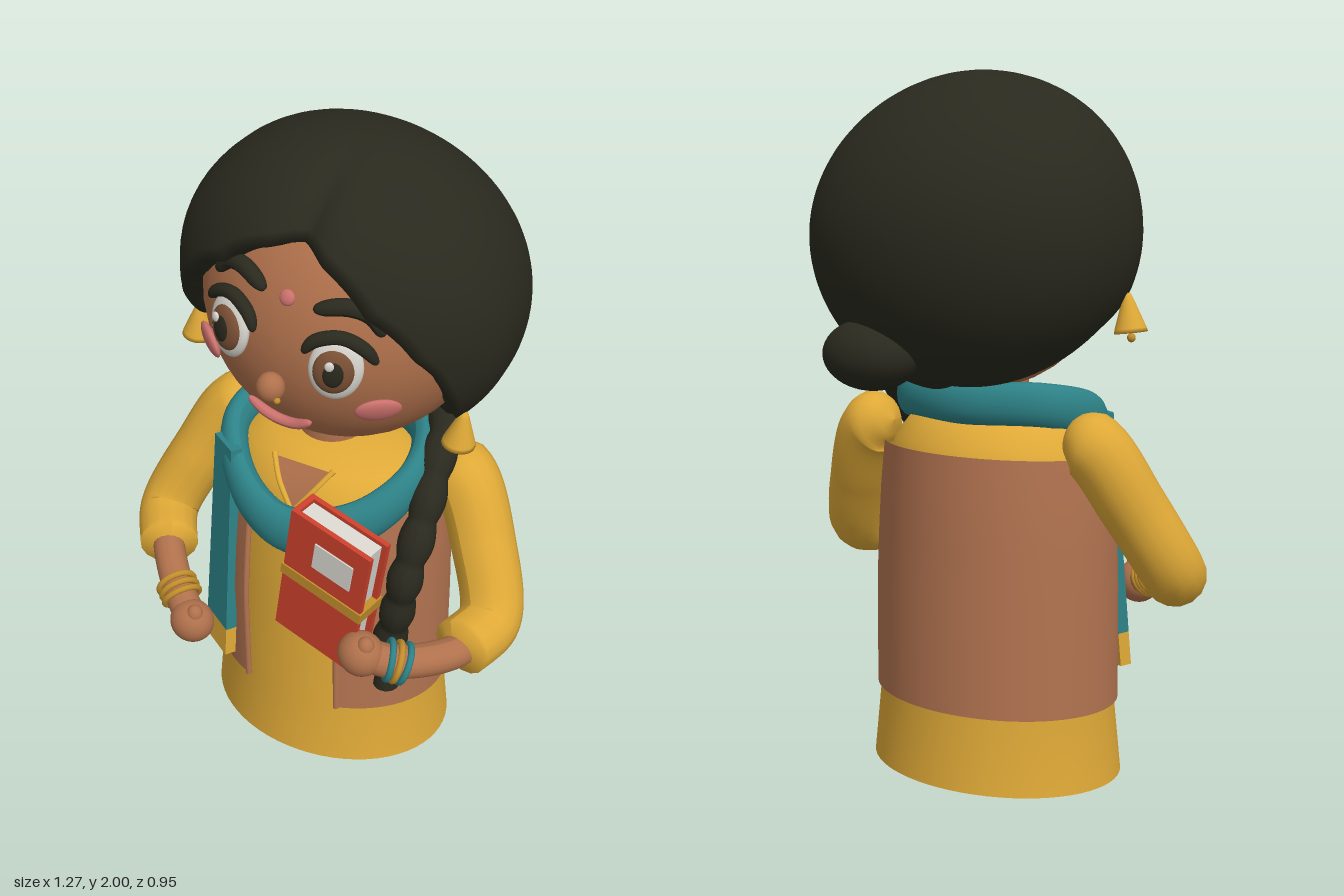
import * as THREE from 'three';

const mat = (name, color, side = THREE.FrontSide) => {
  const m = new THREE.MeshStandardMaterial({ color, side });
  m.name = name;
  return m;
};
const V = (x, y, z) => new THREE.Vector3(x, y, z);

export function createModel() {
  const skin = mat('skin', 0xb0714c), vestBrown = mat('vest brown', 0xb27350, THREE.DoubleSide);
  const yellow = mat('tunic yellow', 0xdfa937), teal = mat('teal', 0x2d8287);
  const red = mat('book red', 0xcc402c), dark = mat('hair black', 0x29291e);
  const pink = mat('pink', 0xca706c), white = mat('white', 0xd9d7cf);
  const iris = mat('eye brown', 0x7c5136), gold = mat('gold', 0xc28e2c);

  const model = new THREE.Group();
  const add = (name, geo, material, pos = [0, 0, 0], parent = model) => {
    const m = new THREE.Mesh(geo, material);
    m.name = name;
    m.position.set(...pos);
    parent.add(m);
    return m;
  };
  const ball = (name, material, pos, size, parent = model) => {
    const m = add(name, new THREE.SphereGeometry(1, 32, 20), material, pos, parent);
    m.scale.set(...size);
    return m;
  };
  const group = (name, parent = model) => {
    const g = new THREE.Group();
    g.name = name;
    parent.add(g);
    return g;
  };

  // Tube whose radius follows a rule along its length, optionally flattened
  const tube = (name, pts, radius, material, parent = model, { closed = false, squash = [1, 1, 1], seg = 48 } = {}) => {
    const curve = new THREE.CatmullRomCurve3(pts.map(p => V(...p)), closed);
    const geo = new THREE.TubeGeometry(curve, seg, 1, 16, closed);
    const pos = geo.attributes.position, v = V(), s = V(...squash);
    for (let i = 0; i < pos.count; i++) {
      const t = Math.floor(i / 17) / seg, c = curve.getPointAt(t);
      v.fromBufferAttribute(pos, i).sub(c).multiplyScalar(radius(t)).multiply(s).add(c);
      pos.setXYZ(i, v.x, v.y, v.z);
    }
    geo.computeVertexNormals();
    return add(name, geo, material, [0, 0, 0], parent);
  };
  const tapered = r => t => r * Math.sqrt(Math.max(0, 1 - (2 * t - 1) ** 4));

  // Torso cross-sections get flatter from front to back towards the shoulders
  const cx = -0.013;
  const depth = y => 0.77 - 0.12 * THREE.MathUtils.smoothstep(y, 0.5, 0.98);
  const torso = (name, profile, material, start = 0, length = Math.PI * 2) => {
    const geo = new THREE.LatheGeometry(profile.map(p => new THREE.Vector2(...p)), 64, start, length);
    const pos = geo.attributes.position;
    for (let i = 0; i < pos.count; i++) pos.setZ(i, pos.getZ(i) * depth(pos.getY(i)));
    return add(name, geo, material, [cx, 0, -0.008]);
  };

  // Tunic, neck and collar opening
  torso('tunic', [[0.388, 0], [0.365, 0.22], [0.36, 0.6], [0.35, 0.88], [0.325, 0.96], [0.27, 1.025], [0.2, 1.06], [0.1, 1.075]], yellow);
  const base = add('tunicBase', new THREE.CircleGeometry(0.388, 64), yellow, [cx, 0, -0.008]);
  base.rotation.x = Math.PI / 2;
  base.scale.y = depth(0);
  add('neck', new THREE.CylinderGeometry(0.098, 0.105, 0.25, 32), skin, [cx, 1.1, -0.02]);
  const notch = new THREE.BufferGeometry();
  notch.setAttribute('position', new THREE.Float32BufferAttribute(
    [-0.09, 1.04, 0.165, 0.09, 1.04, 0.165, -0.05, 0.99, 0.205, 0.05, 0.99, 0.205, 0, 0.92, 0.233], 3));
  notch.setIndex([0, 2, 1, 1, 2, 3, 2, 4, 3]);
  notch.computeVertexNormals();
  add('necklineOpening', notch, skin, [cx, 0, 0]);
  for (const s of [-1, 1])
    tube('necklineTrim', [[cx + s * 0.095, 1.045, 0.16], [cx + s * 0.055, 0.99, 0.205], [cx, 0.915, 0.233]], () => 0.008, yellow);
  for (const [y, z] of [[0.79, 0.252], [0.7, 0.262], [0.61, 0.27]]) ball('button', gold, [cx, y, z], [0.012, 0.012, 0.012]);

  // Open vest with edged front
  const vestProfile = [[0.377, 0.22], [0.376, 0.4], [0.375, 0.55], [0.373, 0.7], [0.37, 0.82], [0.36, 0.945]];
  const gap = 0.42;
  torso('vest', vestProfile, vestBrown, gap, Math.PI * 2 - gap * 2);
  for (const s of [-1, 1])
    tube('vestEdge', vestProfile.map(([r, y]) => [cx + s * r * Math.sin(gap), y, r * Math.cos(gap) * depth(y) - 0.008]), () => 0.009, vestBrown);

  // Arms: bent sleeve, forearm, hand and bracelets
  const arm = (name, s, elbow, cuff, wrist, hand, bands) => {
    const g = group(name);
    const sleeveR = t => t === 0 ? 0 : t > 0.985 ? 0.045 : 0.098 * Math.min(1, Math.sqrt(t * 10)) - 0.01 * t;
    tube('sleeve', [[s * 0.29, 1.0, -0.09], [s * 0.37, 0.98, -0.08], [s * 0.47, 0.81, -0.02], elbow, cuff], sleeveR, yellow, g);
    tube('forearm', [elbow, cuff, wrist, hand], () => 0.048, skin, g);
    ball('hand', skin, hand, [0.067, 0.066, 0.062], g);
    ball('thumb', skin, [hand[0] + 0.02, hand[1] + 0.045, hand[2] + 0.012], [0.025, 0.03, 0.025], g);
    const dir = V(...hand).sub(V(...wrist)).normalize();
    bands.forEach((m, i) => {
      const b = add('bracelet', new THREE.TorusGeometry(0.055, 0.0095, 10, 32), m, wrist, g);
      b.position.addScaledVector(dir, (i - 1) * 0.022);
      b.quaternion.setFromUnitVectors(V(0, 0, 1), dir);
      b.rotateX((i - 1) * 0.08);
    });
  };
  arm('rightArm', -1, [-0.547, 0.62, 0.075], [-0.462, 0.59, 0.215], [-0.365, 0.53, 0.315], [-0.284, 0.49, 0.374], [gold, gold, gold]);
  arm('leftArm', 1, [0.547, 0.63, 0.08], [0.515, 0.615, 0.23], [0.39, 0.63, 0.365], [0.302, 0.66, 0.41], [teal, gold, teal]);

  // Scarf loop
  const side = s => [[s * 0.18, 0.93, 0.21], [s * 0.285, 1.035, 0.07], [s * 0.225, 1.085, -0.1]];
  tube('scarfLoop', [[cx, 0.875, 0.265], ...side(1), [cx, 1.085, -0.18], ...side(-1).reverse()], t => 0.069 + 0.01 * Math.cos(t * Math.PI * 2),
    teal, model, { closed: true, squash: [0.58, 1, 0.58], seg: 80 });

  // Scarf tail lying against the side of the chest
  const tail = group('scarfTail');
  tail.position.set(-0.28, 0.28, 0.222);
  tail.rotation.set(-0.085, -0.55, 0, 'YXZ');
  const strip = (name, pts, m) => add(name, new THREE.ExtrudeGeometry(
    new THREE.Shape(pts.map(p => new THREE.Vector2(...p))), { depth: 0.035, bevelEnabled: false }), m, [0, 0, -0.01], tail);
  strip('tailCloth', [[-0.063, 0.1], [0.063, 0.1], [0.045, 0.76], [-0.055, 0.76]], teal);
  strip('tailEnd', [[-0.065, 0], [0.065, 0], [0.063, 0.1], [-0.063, 0.1]], yellow);

  // Book with pages, label and strap
  const book = group('book');
  book.position.set(0.167, 0.8, 0.335);
  book.rotation.set(0, -0.17, -0.155);
  for (const z of [-0.038, 0.038]) add('bookCover', new THREE.BoxGeometry(0.27, 0.455, 0.015), red, [0, 0, z], book);
  add('bookSpine', new THREE.BoxGeometry(0.018, 0.455, 0.076), red, [-0.126, 0, 0], book);
  add('bookPages', new THREE.BoxGeometry(0.24, 0.43, 0.062), white, [-0.002, 0, 0], book);
  add('bookLabel', new THREE.BoxGeometry(0.13, 0.09, 0.006), white, [0.024, 0.122, 0.047], book);
  add('bookStrap', new THREE.BoxGeometry(0.28, 0.035, 0.1), gold, [0, 0, 0], book);

  // Bun and braid
  ball('bun', dark, [0.18, 1.225, -0.342], [0.148, 0.1, 0.11]);
  tube('braid', [[0.2, 1.17, -0.26], [0.29, 1.15, -0.13], [0.33, 1.08, 0.01], [0.343, 0.95, 0.125], [0.333, 0.8, 0.195], [0.31, 0.65, 0.2], [0.275, 0.47, 0.19]],
    t => 0.04 + 0.012 * Math.abs(Math.sin(t * Math.PI * 8)), dark, model, { seg: 110 });
  add('braidTie', new THREE.CylinderGeometry(0.041, 0.041, 0.05, 24), teal, [0.273, 0.465, 0.185]);
  add('braidEnd', new THREE.CylinderGeometry(0.027, 0.04, 0.115, 24), dark, [0.273, 0.385, 0.183]);

  // Head, slightly tilted
  const head = group('head');
  head.position.set(0.03, 1.53, 0);
  head.rotation.z = -0.12;
  const F = { x: 0.402, y: 0.422, z: 0.398, cz: -0.04 };
  ball('face', skin, [0, 0, F.cz], [F.x, F.y, F.z], head);
  const faceZ = (x, y) => F.cz + F.z * Math.sqrt(1 - (x / F.x) ** 2 - (y / F.y) ** 2);
  const onFace = (obj, x, y, out = 0) => {
    const z = faceZ(x, y);
    const n = V(x / F.x ** 2, y / F.y ** 2, (z - F.cz) / F.z ** 2).normalize();
    obj.position.set(x, y, z).addScaledVector(n, out);
    obj.quaternion.setFromUnitVectors(V(0, 0, 1), n);
    return obj;
  };
  const faceLine = (name, pts, r, m, out) =>
    tube(name, pts.map(([x, y]) => [x, y, faceZ(x, y) + out]), tapered(r), m, head);

  for (const s of [-1, 1]) {
    const eye = onFace(group('eye', head), s * 0.15, 0.02, 0.01);
    ball('eyeWhite', white, [0, 0, 0], [0.07, 0.092, 0.028], eye);
    ball('iris', iris, [-s * 0.004, 0, 0.014], [0.054, 0.066, 0.024], eye);
    ball('pupil', dark, [-s * 0.004, 0, 0.03], [0.029, 0.039, 0.012], eye);
    ball('eyeGlint', white, [-0.016, 0.026, 0.038], [0.012, 0.014, 0.006], eye);
    faceLine('eyelash', [[s * 0.245, 0.045], [s * 0.212, 0.085], [s * 0.155, 0.11], [s * 0.095, 0.09], [s * 0.07, 0.05]], 0.019, dark, 0.02);
    faceLine('eyebrow', [[s * 0.24, 0.115], [s * 0.205, 0.163], [s * 0.15, 0.18], [s * 0.068, 0.16]], 0.023, dark, 0.01);
    onFace(ball('cheek', pink, [0, 0, 0], [0.062, 0.04, 0.016], head), s * 0.247, -0.115, 0.009);

    // Bell earring
    const earring = group('earring', head);
    earring.position.set(s * 0.413, -0.245, 0.05);
    const bell = [[0, -0.05], [0.047, -0.052], [0.044, -0.04], [0.016, 0.04], [0.01, 0.055], [0, 0.058]];
    add('bell', new THREE.LatheGeometry(bell.map(p => new THREE.Vector2(...p)), 24), yellow, [0, 0, 0], earring);
    ball('bellDrop', gold, [0, -0.066, 0], [0.012, 0.013, 0.012], earring);
  }
  ball('nose', skin, [0, -0.083, faceZ(0, -0.083) + 0.033], [0.038, 0.042, 0.036], head);
  ball('noseStud', gold, [0.032, -0.1, faceZ(0, -0.083) + 0.052], [0.009, 0.009, 0.009], head);
  onFace(ball('foreheadDot', pink, [0, 0, 0], [0.021, 0.021, 0.012], head), -0.003, 0.163, 0.008);
  faceLine('mouth', [[-0.095, -0.2], [-0.05, -0.232], [0, -0.243], [0.05, -0.232], [0.095, -0.2]], 0.015, pink, 0.018);

  // Hair cap: opening edge given as polar angle against the angle from the crown
  const edge = [[0, 0.7], [14, 0.63], [50, 0.57], [80, 0.71], [102, 0.95], [119, 1.19], [130, 1.48], [150, 1.72], [180, 2.0]];
  const edgeAt = deg => {
    const k = Math.max(1, edge.findIndex(e => e[0] >= deg));
    const [a, b] = [edge[k - 1], edge[k]];
    return THREE.MathUtils.mapLinear(deg, a[0], b[0], a[1], b[1]);
  };
  // Rows run from a tucked-in rim to the back; the front swells either side of a parting
  const cols = 120, rows = 32, pos = [], idx = [];
  for (let i = 0; i <= rows; i++) for (let k = 0; k < cols; k++) {
    const a = k / cols * Math.PI * 2, deg = Math.min(k, cols - k) / cols * 360;
    const t0 = edgeAt(deg), th = t0 + (Math.PI - t0) * Math.max(0, i - 1) / (rows - 1);
    const front = Math.max(0, Math.cos(th)), up = Math.max(0, Math.cos(a));
    const x = Math.sin(th) * Math.sin(a);
    const groove = 1 - 0.055 * front * up * Math.exp(-((x / 0.06) ** 2));
    const temple = 1 + 0.05 * Math.max(0, Math.sin(2 * th)) * Math.sin(a) ** 2;
    const swell = 0.06 * front * up * (1 - 0.45 * Math.exp(-((x / 0.13) ** 2)));
    const crown = 0.05 * (Math.sin(th) * up) ** 2;
    const r = (i === 0 ? 0.85 : temple) * groove;
    pos.push(0.48 * x * r, 0.018 + 0.452 * Math.sin(th) * Math.cos(a) * r,
      -0.07 + 0.405 * Math.cos(th) * r + (i === 0 ? 0 : swell + crown));
    if (i < rows) {
      const p = i * cols + k, q = i * cols + (k + 1) % cols;
      idx.push(p, q, p + cols, q, q + cols, p + cols);
    }
  }
  const hair = new THREE.BufferGeometry();
  hair.setAttribute('position', new THREE.Float32BufferAttribute(pos, 3));
  hair.setIndex(idx);
  hair.computeVertexNormals();
  add('hair', hair, dark, [0, 0, 0], head);

  return model;
}
